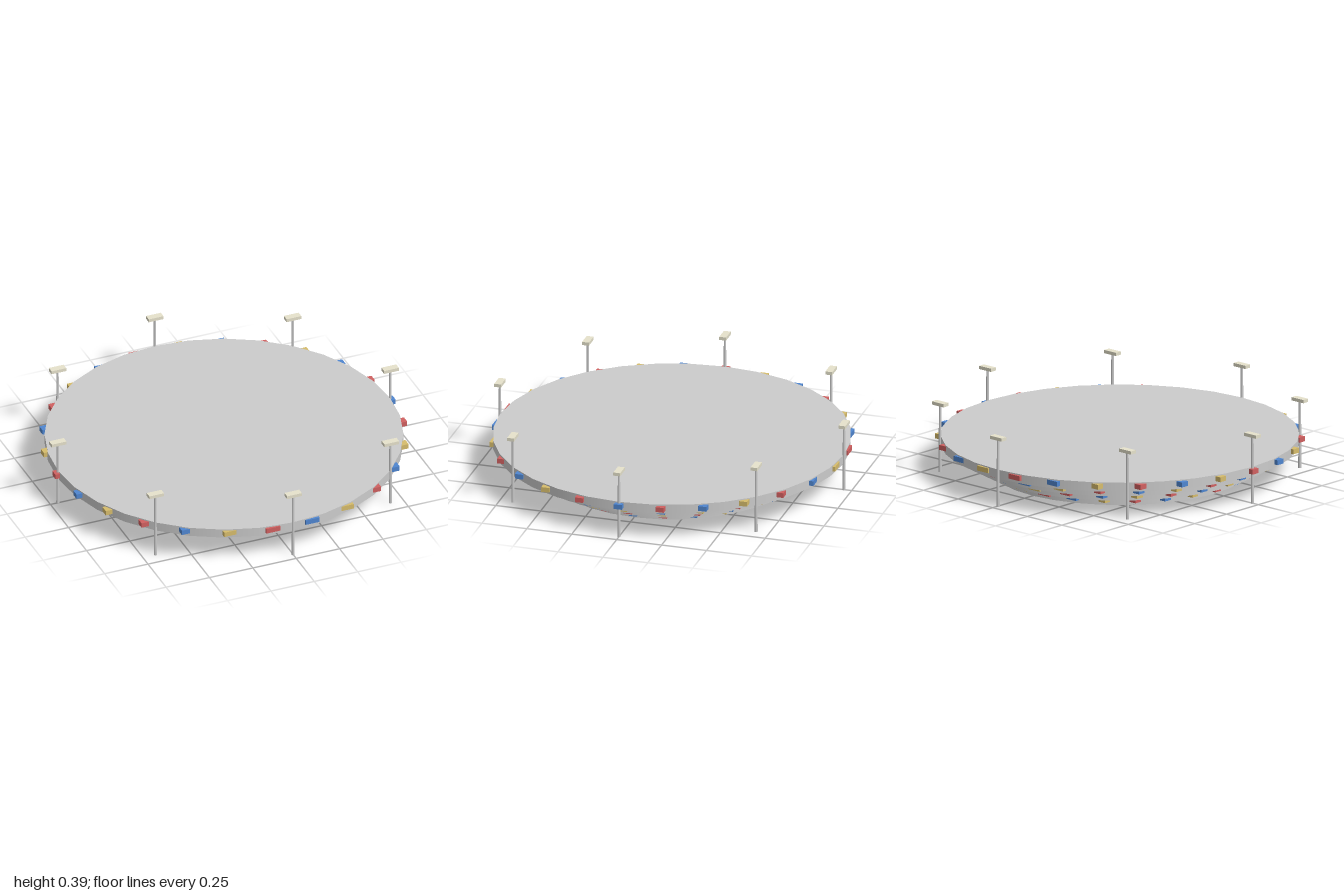
import * as THREE from 'three';

const TIERS = 4, TIER_H = 0.05, SEATS = 26, MASTS = 8;

const mat = (color) => new THREE.MeshStandardMaterial({ color });

function addMesh(parent, name, geometry, material, x, y, z) {
  const mesh = new THREE.Mesh(geometry, material);
  mesh.name = name;
  mesh.position.set(x, y, z);
  parent.add(mesh);
  return mesh;
}

export function createModel() {
  const model = new THREE.Group();
  model.name = 'stadium';
  const grey = mat(0xcccccc);
  const lampMat = mat(0xe6e2cc);
  const blockMats = [mat(0x4f86d0), mat(0xd06060), mat(0xd6bc6c)]; // blue, red, yellow

  // Stepped bowl, each tier wider than the one below, with coloured blocks set in its rim
  const blockGeo = new THREE.BoxGeometry(0.08, 0.027, 0.045);
  for (let t = 0; t < TIERS; t++) {
    const tier = new THREE.Group();
    tier.name = `tier${t + 1}`;
    model.add(tier);
    const radius = 0.685 + 0.09 * t;
    const disc = new THREE.CylinderGeometry(radius, radius, TIER_H, 32);
    addMesh(tier, 'tierDisc', disc, grey, 0, TIER_H * (t + 0.5), 0);

    const ring = radius - 0.015;
    for (let i = 0; i < SEATS; i++) {
      const a = (i / SEATS) * Math.PI * 2;
      addMesh(tier, 'crowdBlock', blockGeo, blockMats[(i + t) % 3],
        ring * Math.cos(a), TIER_H * t + 0.03, ring * Math.sin(a));
    }
  }

  // Floodlight masts around the rim, all lamps facing the same way
  const poleGeo = new THREE.CylinderGeometry(0.0065, 0.009, 0.375, 8);
  const lampGeo = new THREE.BoxGeometry(0.085, 0.018, 0.038);
  for (let i = 0; i < MASTS; i++) {
    const a = (i / MASTS) * Math.PI * 2;
    const mast = new THREE.Group();
    mast.name = 'floodlight';
    mast.position.set(0.9575 * Math.cos(a), 0, 0.9575 * Math.sin(a));
    addMesh(mast, 'pole', poleGeo, grey, 0, 0.1875, 0);
    addMesh(mast, 'lamp', lampGeo, lampMat, 0, 0.377, 0);
    model.add(mast);
  }
  return model;
}
